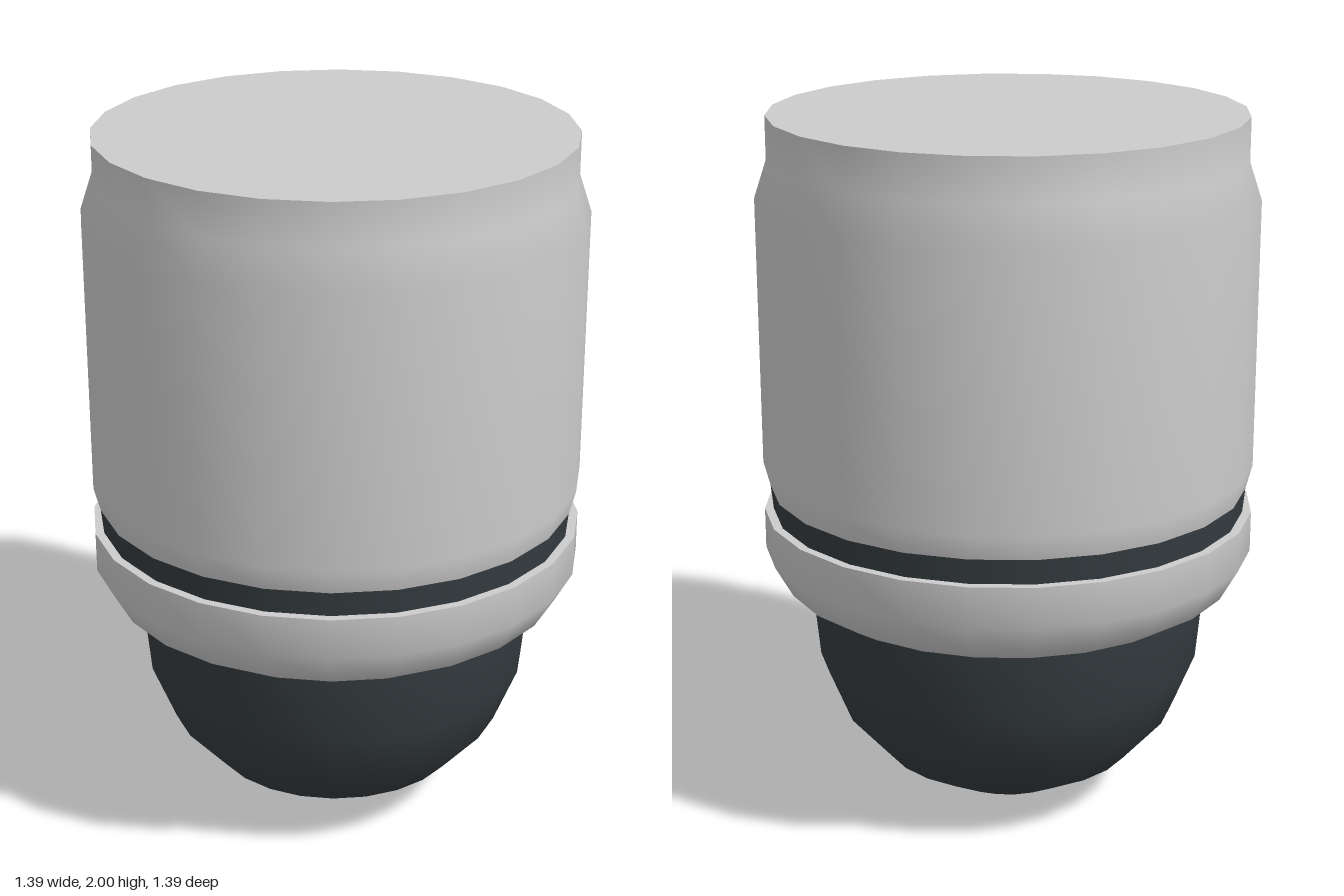
import * as THREE from 'three';

const SIDES = 24;

export function createModel() {
  const group = new THREE.Group();
  const grey = new THREE.MeshStandardMaterial({ color: 0xcccccc });
  const dark = new THREE.MeshStandardMaterial({ color: 0x353c40 });

  // Revolve a [radius, height] profile, listed from bottom to top
  function turned(name, material, profile) {
    const points = profile.map(([r, y]) => new THREE.Vector2(r, y));
    const mesh = new THREE.Mesh(new THREE.LatheGeometry(points, SIDES), material);
    mesh.name = name;
    group.add(mesh);
  }

  // Tinted dome hanging below the housing
  turned('dome', dark, [
    [0, 0], [0.195, 0.04], [0.365, 0.135], [0.48, 0.265], [0.547, 0.43], [0.566, 0.63],
  ]);

  // Lower trim ring: underside, rounded wall and flat ledge
  turned('trimUnderside', grey, [[0.55, 0.63], [0.57, 0.63]]);
  turned('trimRing', grey, [[0.57, 0.63], [0.645, 0.675], [0.695, 0.765], [0.695, 0.88]]);
  turned('trimLedge', grey, [[0.695, 0.88], [0.67, 0.88]]);

  // Dark recessed seam
  turned('seamBand', dark, [[0.67, 0.88], [0.677, 0.95]]);

  // Main housing with a narrowed neck and flat lid
  turned('housing', grey, [
    [0.677, 0.95], [0.695, 1.02], [0.695, 1.775], [0.66, 1.88], [0.66, 2],
  ]);
  turned('lid', grey, [[0.66, 2], [0, 2]]);

  return group;
}
